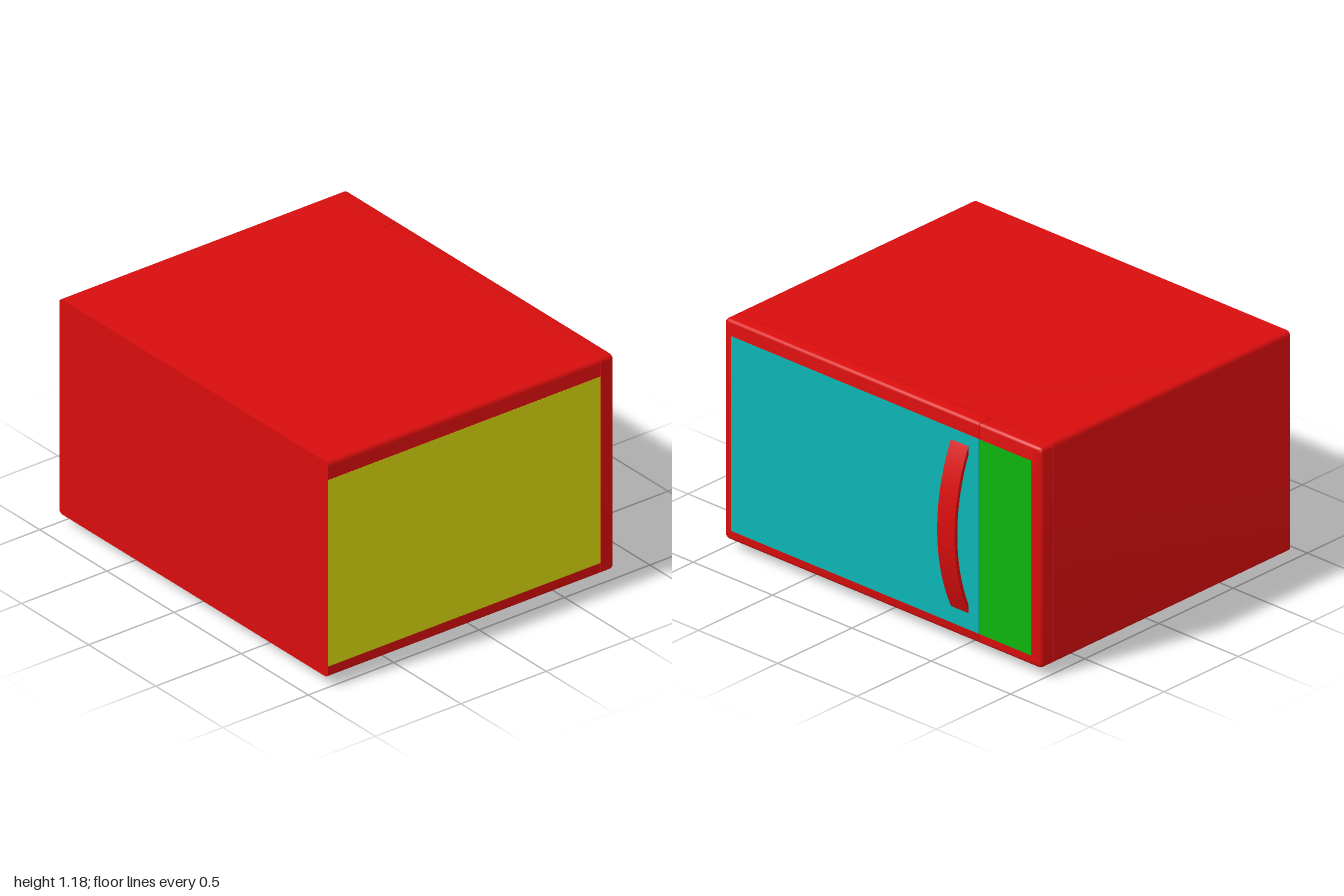
import * as THREE from 'three';
import { toCreasedNormals } from 'three/addons/utils/BufferGeometryUtils.js';

const material = (color) => new THREE.MeshStandardMaterial({ color });
const red = material(0xd80d0d);
const yellow = material(0xd8d80d);
const teal = material(0x0db5b5);
const green = material(0x0db50d);
const BOTTOM = 0.05, TOP = 1.18;

// Counter-clockwise rectangle whose left (-x) and right (+x) corners have their own radii
function outline(x0, x1, y0, y1, rLeft, rRight) {
  const corners = [
    [x1 - rRight, y0 + rRight, rRight, -Math.PI / 2],
    [x1 - rRight, y1 - rRight, rRight, 0],
    [x0 + rLeft, y1 - rLeft, rLeft, Math.PI / 2],
    [x0 + rLeft, y0 + rLeft, rLeft, Math.PI],
  ];
  const points = [];
  for (const [cx, cy, r, start] of corners) {
    for (let i = 0; i <= 3; i++) {
      const a = start + (i / 3) * Math.PI / 2;
      points.push([cx + r * Math.cos(a), cy + r * Math.sin(a)]);
    }
  }
  return points;
}

// Closed solid through outlines ordered by increasing z
function loft(rings) {
  const pos = [];
  const put = (k, i) => {
    const pts = rings[k].points;
    pos.push(...pts[i % pts.length], rings[k].z);
  };
  const n = rings[0].points.length, last = rings.length - 1;
  for (let k = 0; k < last; k++) {
    for (let i = 0; i < n; i++) {
      put(k, i); put(k, i + 1); put(k + 1, i + 1);
      put(k, i); put(k + 1, i + 1); put(k + 1, i);
    }
  }
  for (let i = 1; i < n - 1; i++) {
    put(0, 0); put(0, i + 1); put(0, i);
    put(last, 0); put(last, i); put(last, i + 1);
  }
  const g = new THREE.BufferGeometry();
  g.setAttribute('position', new THREE.Float32BufferAttribute(pos, 3));
  return toCreasedNormals(g, 0.6);
}

// Door or control panel block, bevelled on its outer front edges only
function frontBlock(x0, x1, leftOuter, rightOuter) {
  const rings = [];
  for (let i = 0; i <= 3; i++) {
    const a = (i / 3) * Math.PI / 2;
    const inset = 0.015 * (1 - Math.sin(a));
    rings.push({
      z: -0.775 - 0.015 * Math.cos(a),
      points: outline(x0 + inset * leftOuter, x1 - inset * rightOuter,
        BOTTOM + inset, TOP - inset, 0.022 * leftOuter, 0.022 * rightOuter),
    });
  }
  rings.push({ z: -0.714, points: outline(x0, x1, BOTTOM, TOP, 0.022 * leftOuter, 0.022 * rightOuter) });
  return loft(rings);
}

export function createModel() {
  const model = new THREE.Group();
  const add = (name, geometry, mat, parent = model) => {
    const mesh = new THREE.Mesh(geometry, mat);
    mesh.name = name;
    parent.add(mesh);
    return mesh;
  };
  const box = (x0, x1, y0, y1, z0, z1) => new THREE.BoxGeometry(x1 - x0, y1 - y0, z1 - z0)
    .translate((x0 + x1) / 2, (y0 + y1) / 2, (z0 + z1) / 2);

  // Housing with softly rounded long edges
  const section = outline(-1, 1, BOTTOM, TOP, 0.022, 0.022);
  add('housing', loft([{ z: -0.71, points: section }, { z: 0.885, points: section }]), red);
  add('sidePanel', box(0.99, 1.001, 0.11, 1.09, -0.709, 0.8845), yellow);

  // Door and control section, separated by a narrow seam
  add('door', frontBlock(-0.604, 1, 0, 1), red);
  add('controlSection', frontBlock(-1, -0.608, 1, 0), red);
  add('doorWindow', box(-0.604, 0.955, 0.1, 1.1, -0.7915, -0.78), teal);
  add('controlPanel', box(-0.935, -0.608, 0.1, 1.1, -0.7915, -0.78), green);

  // Bowed strap handle
  const R = 1.03, thickness = 0.018, half = Math.asin(0.4425 / R);
  const strap = new THREE.Shape();
  strap.absarc(0, 0, R, -half, half, false);
  strap.absarc(0, 0, R - thickness, half, -half, true);
  strap.closePath();
  const handle = new THREE.ExtrudeGeometry(strap, { depth: 0.11, bevelEnabled: false, curveSegments: 24 });
  handle.rotateY(Math.PI / 2).translate(-0.54, 0.6125, R - 0.885);
  add('handle', toCreasedNormals(handle, 0.6), red);

  // Four feet: square plate and small square stub
  for (const x of [-0.675, 0.705]) {
    for (const z of [-0.525, 0.63]) {
      const foot = new THREE.Group();
      foot.name = 'foot';
      foot.position.set(x, 0, z);
      add('footPlate', box(-0.105, 0.105, 0.03, 0.055, -0.105, 0.105), red, foot);
      add('footStub', box(-0.035, 0.035, 0, 0.032, -0.035, 0.035), red, foot);
      model.add(foot);
    }
  }
  return model;
}
